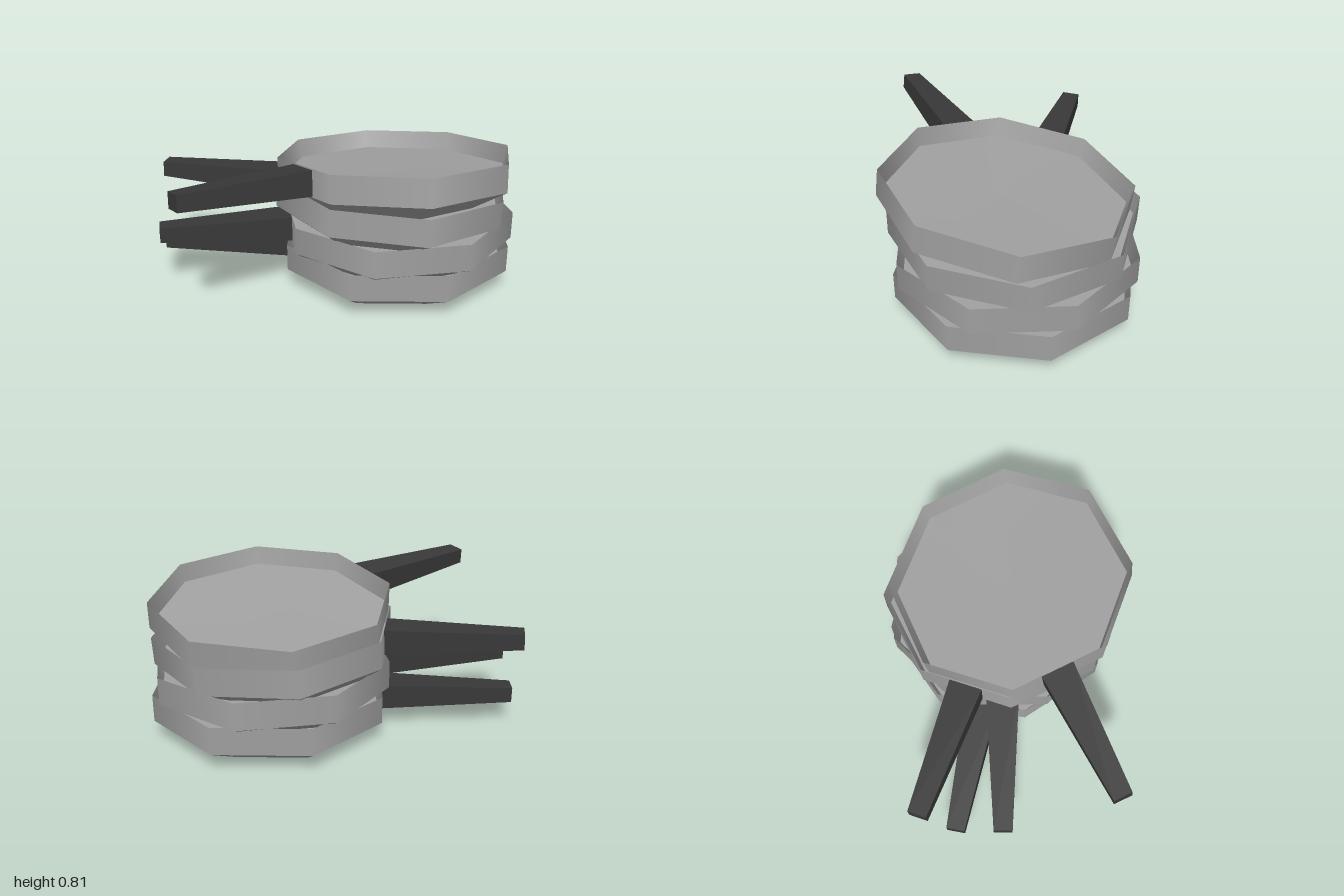
import * as THREE from 'three';
import { mergeGeometries } from 'three/addons/utils/BufferGeometryUtils.js';

const metal = new THREE.MeshStandardMaterial({ color: 0xa1a1a1, side: THREE.DoubleSide });
const grip = new THREE.MeshStandardMaterial({ color: 0x383838, flatShading: true });

// Eight-sided dish: base, sloped side, upright thin wall, slightly dished floor.
// Each band is its own lathe: smooth around, sharp between bands.
function bowlGeometry() {
  const profile = [[0, 0], [0.49, 0], [0.66, 0.1], [0.66, 0.25], [0.633, 0.148], [0, 0.135]]
    .map(([r, y]) => new THREE.Vector2(r, y));
  const bands = profile.slice(1).map((p, i) => new THREE.LatheGeometry([profile[i], p], 8, Math.PI / 8));
  const geo = mergeGeometries(bands);
  const pos = geo.attributes.position;
  for (let i = 0; i < pos.count; i++) {
    // the base sits slightly towards the handle, the wall at the handle slightly inwards
    if (pos.getY(i) < 0.01) pos.setZ(i, pos.getZ(i) + 0.03);
    else if (pos.getZ(i) > 0.55) pos.setZ(i, pos.getZ(i) - 0.006);
  }
  return geo;
}

// Straight bar along +z, tapering in width and height towards the tip
function handleGeometry() {
  const geo = new THREE.BoxGeometry(1, 1, 1);
  const pos = geo.attributes.position;
  for (let i = 0; i < pos.count; i++) {
    const tip = pos.getZ(i) > 0;
    pos.setXYZ(i,
      pos.getX(i) * (tip ? 0.1 : 0.18),
      0.174 + pos.getY(i) * (tip ? 0.085 : 0.138),
      tip ? 1.322 : 0.603);
  }
  return geo;
}

export function createModel() {
  const model = new THREE.Group();
  model.name = 'panStack';
  const bowl = bowlGeometry();
  const handle = handleGeometry();

  // centre, handle heading (degrees from +x towards +z), slope of the rim along x and z
  const pans = [
    { name: 'bottomPan', at: [0.341, 0, 0.038], heading: 205.4, slope: [0, 0] },
    { name: 'secondPan', at: [0.338, 0.151, 0.04], heading: 194.2, slope: [0, 0] },
    { name: 'thirdPan', at: [0.302, 0.322, 0.04], heading: 213.4, slope: [-0.053, 0] },
    { name: 'topPan', at: [0.303, 0.479, 0.101], heading: 169.9, slope: [-0.042, 0.1155] },
  ];
  const up = new THREE.Vector3(0, 1, 0);

  for (const { name, at, heading, slope } of pans) {
    const pan = new THREE.Group();
    pan.name = name;
    const dish = new THREE.Mesh(bowl, metal);
    dish.name = 'bowl';
    const bar = new THREE.Mesh(handle, grip);
    bar.name = 'handle';
    pan.add(dish, bar);

    // turn to the heading, then lean
    const normal = new THREE.Vector3(-slope[0], 1, -slope[1]).normalize();
    const turn = new THREE.Quaternion().setFromAxisAngle(up, THREE.MathUtils.degToRad(90 - heading));
    pan.quaternion.setFromUnitVectors(up, normal).multiply(turn);
    pan.position.set(...at);
    model.add(pan);
  }
  return model;
}
